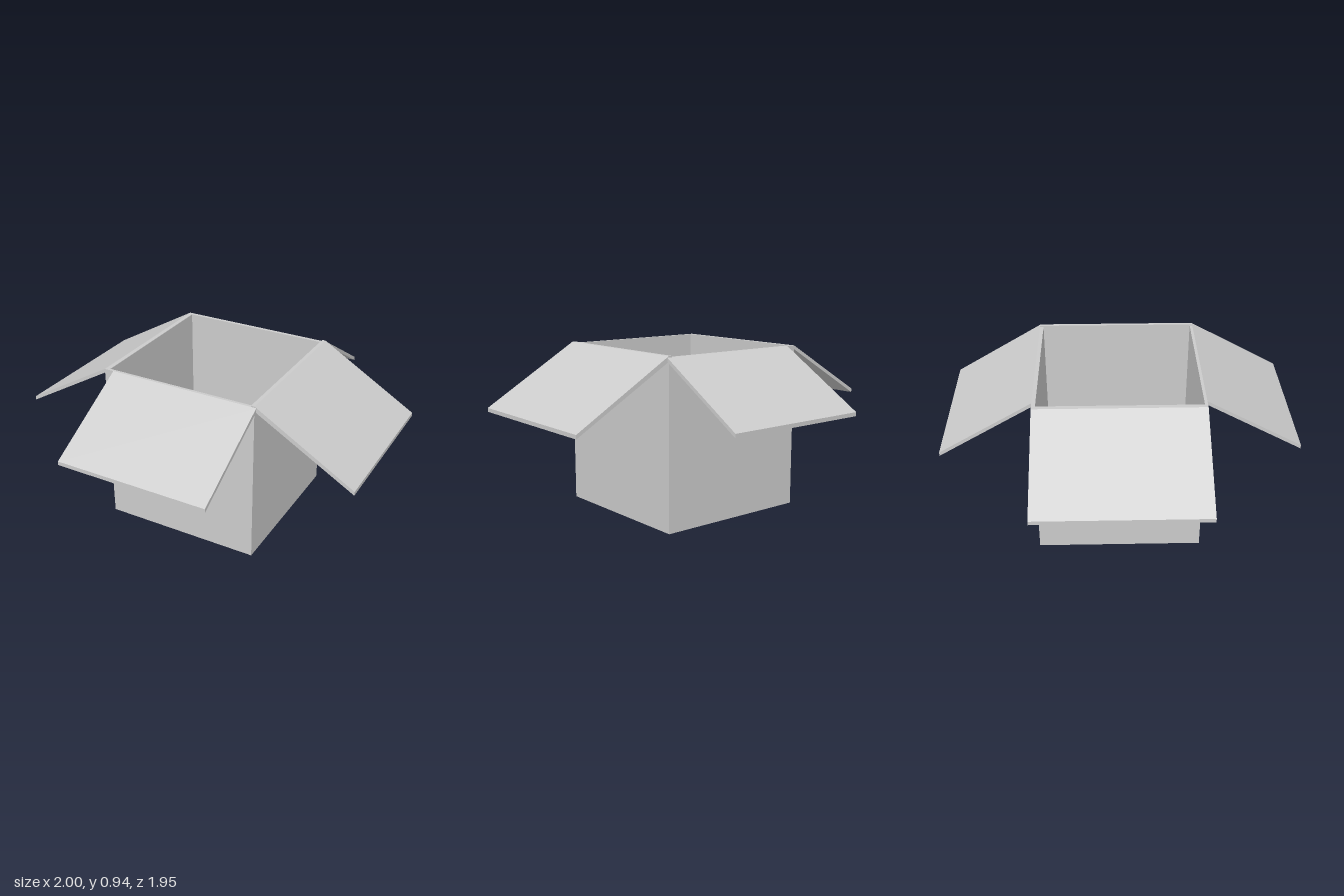
import * as THREE from 'three';

const material = new THREE.MeshStandardMaterial({ color: 0xcccccc, flatShading: true });

// Outer and inner extents of the carton
const OUT = { x0: -0.476, x1: 0.44, z0: -0.463, z1: 0.452 };
const IN = { x0: -0.45, x1: 0.42, z0: -0.442, z1: 0.436 };
const TOP = 0.938, FOLD_TOP = 0.945, CARD = 0.022;

// Counter-clockwise outline in plan, with -z as the drawing's y
function rectangle(Type, { x0, x1, z0, z1 }) {
  return new Type([[x0, -z1], [x1, -z1], [x1, -z0], [x0, -z0]].map(p => new THREE.Vector2(...p)));
}

function addMesh(group, name, geometry) {
  const mesh = new THREE.Mesh(geometry, material);
  mesh.name = name;
  group.add(mesh);
  return mesh;
}

// A sloping card panel: profile (outward distance, height) swept from a to b along its hinge
function flapGeometry(hinge, hingeTop, tip, tipTop, a, b) {
  const profile = new THREE.Shape([
    [hinge, TOP - CARD], [tip, tipTop - CARD], [tip, tipTop], [hinge, hingeTop],
  ].map(p => new THREE.Vector2(...p)));
  return new THREE.ExtrudeGeometry(profile, { depth: b - a, bevelEnabled: false }).translate(0, 0, a);
}

export function createModel() {
  const model = new THREE.Group();
  model.name = 'openCarton';

  // Four walls as one hollow tube
  const ring = rectangle(THREE.Shape, OUT);
  ring.holes.push(rectangle(THREE.Path, IN));
  const walls = new THREE.ExtrudeGeometry(ring, { depth: TOP, bevelEnabled: false });
  addMesh(model, 'walls', walls.rotateX(-Math.PI / 2));

  // Floor panel between the walls
  const floor = new THREE.ExtrudeGeometry(rectangle(THREE.Shape, IN), { depth: CARD, bevelEnabled: false });
  addMesh(model, 'floor', floor.rotateX(-Math.PI / 2));

  // Flat fold of the left flap, resting on the wall's rim
  const fold = new THREE.BoxGeometry(OUT.x1 - IN.x1, FOLD_TOP - TOP, OUT.z1 - OUT.z0);
  addMesh(model, 'leftFlapFold', fold)
    .position.set((OUT.x1 + IN.x1) / 2, (FOLD_TOP + TOP) / 2, (OUT.z0 + OUT.z1) / 2);

  // Flaps: name, turn about y, hinge distance and height, tip distance and height, sweep range
  const flaps = [
    ['leftFlap', 0, OUT.x1, FOLD_TOP, 1, 0.613, OUT.z0, OUT.z1],
    ['rightFlap', Math.PI, -OUT.x0, TOP, 1, 0.635, -OUT.z1, -OUT.z0],
    ['frontFlap', -Math.PI / 2, OUT.z1, TOP, 0.976, 0.648, IN.x0, IN.x1],
    ['backFlap', Math.PI / 2, -OUT.z0, TOP, 0.976, 0.63, -IN.x1, -IN.x0],
  ];
  for (const [name, turn, ...size] of flaps) {
    addMesh(model, name, flapGeometry(...size)).rotation.y = turn;
  }
  return model;
}
